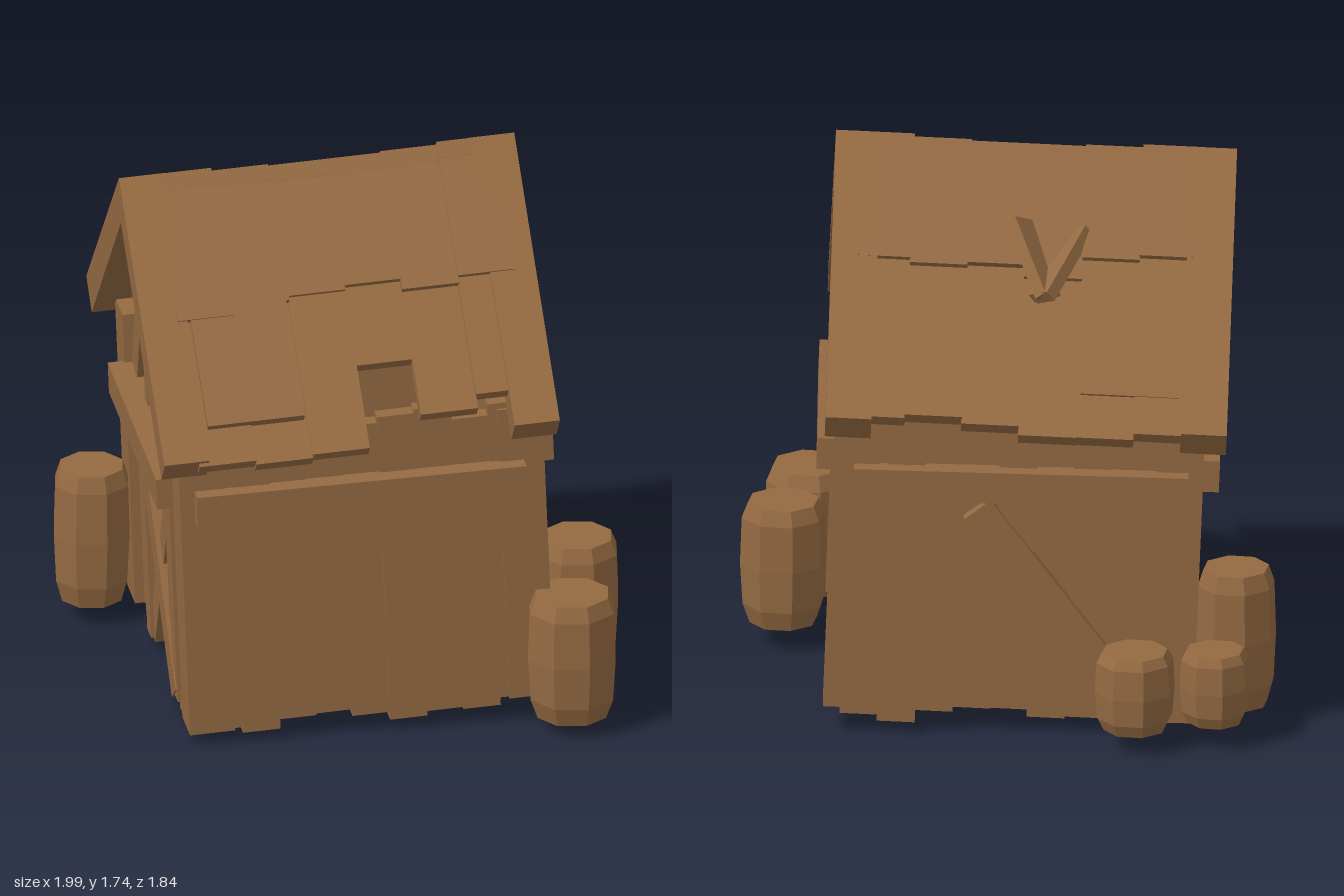
import * as THREE from 'three';

export function createModel() {
  const model = new THREE.Group();
  const wood = new THREE.MeshStandardMaterial({ color: 0x946a42 });
  wood.name = 'brown wood';
  const house = new THREE.Group();
  house.name = 'barn';
  house.rotation.y = -0.71;
  model.add(house);
  const body = new THREE.Group(), roof = new THREE.Group();
  body.name = 'body';
  body.position.x = -0.03;
  roof.name = 'roof';
  house.add(body, roof);

  // the whole barn leans forward: its back sits higher and its top further front
  const lean = new THREE.Matrix4().set(1, 0, 0, 0, 0, 1, -0.048, 0, 0, 0.04, 1, -0.04, 0, 0, 0, 1);
  const jitter = (i) => { const s = Math.sin(i * 12.9898) * 43758.5453; return s - Math.floor(s) - 0.5; };
  const add = (parent, name, geo) => {
    geo.applyMatrix4(lean);
    geo.computeVertexNormals();
    const mesh = new THREE.Mesh(geo, wood);
    mesh.name = name;
    parent.add(mesh);
  };
  const box = (name, w, h, d, x, y, z) => add(body, name, new THREE.BoxGeometry(w, h, d).translate(x, y, z));
  // board running between two points
  const up = new THREE.Vector3(0, 1, 0);
  const bar = (parent, name, a, b, w, d) => {
    const A = new THREE.Vector3(...a), B = new THREE.Vector3(...b);
    const dir = B.clone().sub(A);
    const geo = new THREE.BoxGeometry(w, dir.length(), d);
    geo.applyQuaternion(new THREE.Quaternion().setFromUnitVectors(up, dir.normalize()));
    const mid = A.add(B).multiplyScalar(0.5);
    add(parent, name, geo.translate(mid.x, mid.y, mid.z));
  };
  const outline = (target, pts) => {
    pts.forEach(([x, y], i) => (i ? target.lineTo(x, y) : target.moveTo(x, y)));
    return target;
  };

  const W = 0.515; // half width and half depth of the body
  const peakX = 0.015, peakY = 1.72;

  // gable walls with a loft opening
  for (const s of [1, -1]) {
    const low = s > 0 ? 0.9 : 0.98;
    const shape = outline(new THREE.Shape(), [[-W, 0.07], [-0.3, 0.05], [0, 0.07], [0.3, 0.05],
      [W, 0.07], [W, 1.07], [0.045, 1.56], [-W, 1.07]]);
    shape.holes.push(outline(new THREE.Path(), [[-0.1, low], [-0.1, 1.22], [0.14, 1.22], [0.14, low]]));
    const geo = new THREE.ExtrudeGeometry(shape, { depth: 0.05, bevelEnabled: false });
    add(body, 'gableWall', geo.translate(0, 0, s > 0 ? W - 0.05 : -W));

    // loft frame, loose board and slanted braces
    const z = s * (W + 0.015);
    box('loftFrame', 0.05, 0.36, 0.04, -0.12, 1.06, z);
    box('loftFrame', 0.05, 0.36, 0.04, 0.17, 1.06, z);
    bar(body, 'looseBoard', [-0.13, 1.02, s * (W - 0.04)], [0.15, 0.99, s * (W - 0.04)], 0.07, 0.03);
    bar(body, 'gableBrace', [-0.36, 0.88, z], [-0.14, 1.38, z], 0.09, 0.03);
    bar(body, 'gableBrace', [0.42, 0.88, z], [0.2, 1.38, z], 0.09, 0.03);
    // cross beam
    const by = s > 0 ? 0.83 : 0.845;
    bar(body, 'gableBeam', [-0.44, by, s * (W + 0.05)], [0.43, by - 0.005, s * (W + 0.05)], 0.1, 0.1);
    // vertical planks below the beam, leaving room for the front door
    for (let i = 0; i < 9; i++) {
      if (s > 0 && i > 2 && i < 6) continue;
      const bottom = 0.06 + 0.05 * jitter(i + s * 20);
      box('gablePlank', 0.1, 0.78 - bottom, 0.03, -0.44 + i * 0.11, (0.78 + bottom) / 2,
        s * (W + 0.012 + 0.02 * jitter(i + 7)));
    }
  }

  // front door with a crossed brace
  for (const x of [-0.2, 0.28]) box('doorPost', 0.07, 0.72, 0.05, x, 0.43, W + 0.02);
  bar(body, 'doorBrace', [-0.17, 0.7, W + 0.03], [0.27, 0.08, W + 0.03], 0.1, 0.04);
  bar(body, 'doorBrace', [0.21, 0.7, W + 0.015], [-0.19, 0.08, W + 0.015], 0.08, 0.04);

  // side walls of uneven planks with a beam along the top
  for (const s of [1, -1]) {
    for (let i = 0; i < 9; i++) {
      const bottom = 0.06 + 0.06 * jitter(i + s * 31);
      const top = 1.04 + 0.06 * jitter(i + s * 11);
      box('sidePlank', 0.05, top - bottom, 0.116, s * (W + 0.015 + 0.02 * jitter(i + s * 3)),
        (top + bottom) / 2, -0.455 + i * 0.114);
    }
    bar(body, 'sideBeam', [s * (W + 0.05), 0.815, -0.5], [s * (W + 0.05), 0.835, 0.52], 0.1, 0.1);
    // corner posts
    for (const t of [1, -1]) {
      box('cornerPost', 0.14, 0.97, 0.14, s * (W - 0.02), 0.555, t * (W - 0.02));
    }
  }
  bar(body, 'sideBrace', [-W - 0.05, 0.74, -0.12], [-W - 0.05, 0.1, 0.4], 0.04, 0.1);

  // heavy chevron boards closing the roof ends
  for (const z of [-0.595, 0.49]) {
    const shape = outline(new THREE.Shape(), [[peakX, peakY], [-0.725, 1.06], [-0.65, 0.97],
      [peakX, 1.57], [0.605, 0.97], [0.68, 1.05]]);
    add(roof, 'roofEnd', new THREE.ExtrudeGeometry(shape, { depth: 0.14, bevelEnabled: false }).translate(0, 0, z));
  }

  // two-tier roof: upper boards, and sunken lower boards with a gap in the edge
  const eaves = { right: [0.57, 0.59, 0.46, 0.66, 0.66, 0.66], left: [0.68, 0.66, 0.67, 0.7, 0.7, 0.69] };
  for (const [side, reach] of Object.entries(eaves)) {
    const s = side === 'right' ? 1 : -1;
    const slope = s > 0 ? 1.0 : 0.9;
    reach.forEach((r, i) => {
      const z = -0.4425 + i * 0.175;
      const top = peakY - 0.03 - 0.015 * (1 - (i - 2.5) ** 2 / 6.25);
      const split = 0.3 + 0.06 * jitter(i + s * 5);
      const sink = 0.025 + 0.02 * jitter(i + s * 9);
      bar(roof, side + 'UpperRoofBoard', [peakX - s * 0.02, top + 0.01, z],
        [peakX + s * split, top - split * slope, z], 0.05, 0.177);
      bar(roof, side + 'LowerRoofBoard', [peakX + s * (split - 0.06), top - sink - (split - 0.06) * slope, z],
        [s * r, top - sink - (r - s * peakX) * slope, z], 0.05, 0.177);
    });
    // overlapping repair panels
    bar(roof, 'roofPatch', [s * 0.32, 1.385, 0.33], [s * 0.6, 1.12, 0.33], 0.04, 0.3);
  }
  // splintered shingles
  bar(roof, 'brokenShingle', [-0.2, 1.53, -0.02], [-0.37, 1.35, 0.08], 0.04, 0.12);
  bar(roof, 'brokenShingle', [-0.18, 1.5, 0.16], [-0.4, 1.36, 0.05], 0.04, 0.08);

  // eight-sided barrels around the corners
  const barrel = (x, z, r, y0, y1) => {
    const h = y1 - y0;
    const pts = [[0, 0], [0.78, 0], [0.94, 0.16], [1, 0.5], [0.96, 0.88], [0.82, 1], [0, 1]]
      .map(([a, b]) => new THREE.Vector2(a * r, y0 + b * h));
    const geo = new THREE.LatheGeometry(pts, 8).toNonIndexed();
    geo.computeVertexNormals();
    const mesh = new THREE.Mesh(geo, wood);
    mesh.name = 'barrel';
    mesh.position.set(x, 0, z);
    mesh.rotation.y = 0.3;
    model.add(mesh);
  };
  barrel(0.63, -0.42, 0.135, 0.08, 0.47);
  barrel(0.86, -0.115, 0.145, 0.05, 0.45);
  barrel(-0.79, 0.19, 0.125, 0.07, 0.51);
  barrel(-0.76, -0.19, 0.125, 0.07, 0.32);
  barrel(-0.89, 0.02, 0.11, 0.08, 0.31);

  return model;
}
